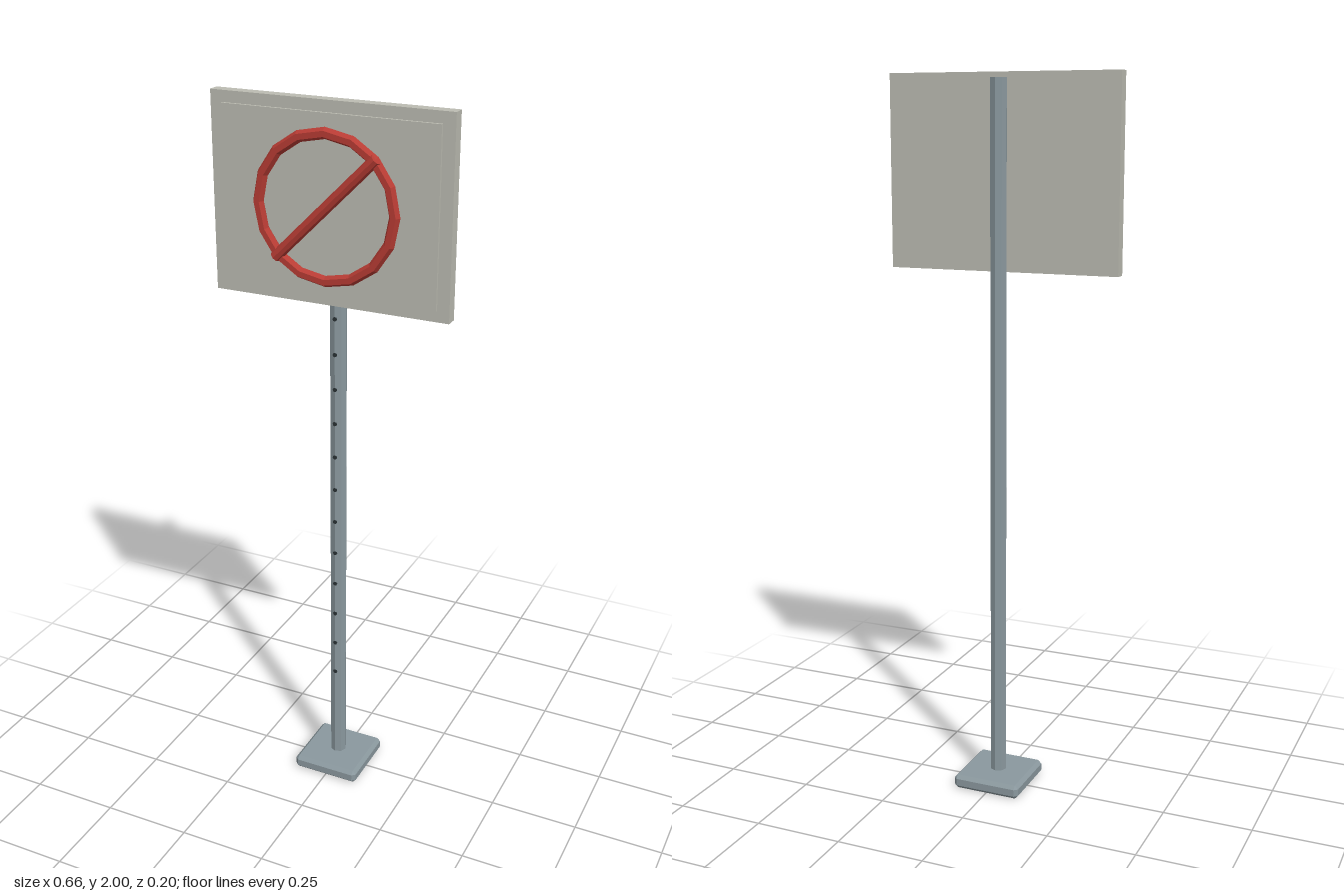
import * as THREE from 'three';
import { ConvexGeometry } from 'three/addons/geometries/ConvexGeometry.js';

const material = (name, color) => {
  const m = new THREE.MeshStandardMaterial({ color, flatShading: true });
  m.name = name;
  return m;
};

// Box with a single flat chamfer on every edge
function chamferedBox(w, h, d, c) {
  const points = [];
  for (const x of [-1, 1]) for (const y of [-1, 1]) for (const z of [-1, 1]) {
    for (let axis = 0; axis < 3; axis++) {
      const inset = [c, c, c];
      inset[axis] = 0;
      points.push(new THREE.Vector3(
        x * (w / 2 - inset[0]), y * (h / 2 - inset[1]), z * (d / 2 - inset[2])));
    }
  }
  return new ConvexGeometry(points);
}

export function createModel() {
  const steel = material('steel', 0x8a989e);
  const board = material('sign board', 0xbcbcb2);
  const red = material('red', 0xb83c34);
  const dark = material('dark', 0x2a3134);

  const model = new THREE.Group();
  model.name = 'roadSign';
  const add = (name, geometry, mat, x, y, z, parent = model) => {
    const mesh = new THREE.Mesh(geometry, mat);
    mesh.name = name;
    mesh.position.set(x, y, z);
    parent.add(mesh);
    return mesh;
  };

  // Foot and octagonal post
  add('basePlate', chamferedBox(0.198, 0.04, 0.198, 0.01), steel, 0, 0.02, 0);
  add('post', new THREE.CylinderGeometry(0.0235, 0.0235, 1.95, 8), steel, 0, 1.01, 0);

  // Row of punched holes down the front of the post
  const holes = new THREE.Group();
  holes.name = 'postHoles';
  model.add(holes);
  const holeGeometry = new THREE.CylinderGeometry(0.006, 0.006, 0.008, 8).rotateX(Math.PI / 2);
  for (let i = 0; i < 12; i++) {
    add('postHole', holeGeometry, dark, 0, 0.33 + i * 0.1, 0.0205, holes);
  }

  // Board with a slightly raised face
  add('signBoard', new THREE.BoxGeometry(0.66, 0.522, 0.033), board, 0, 1.739, 0.0385);
  add('signFace', new THREE.BoxGeometry(0.594, 0.462, 0.008), board, 0, 1.739, 0.058);

  // Prohibition ring and diagonal bar
  add('ring', new THREE.TorusGeometry(0.188, 0.015, 6, 16), red, 0, 1.737, 0.077);
  const bar = add('diagonalBar', new THREE.CylinderGeometry(0.015, 0.015, 0.394, 8), red, 0, 1.737, 0.084);
  bar.rotation.z = -Math.PI / 4;

  return model;
}
